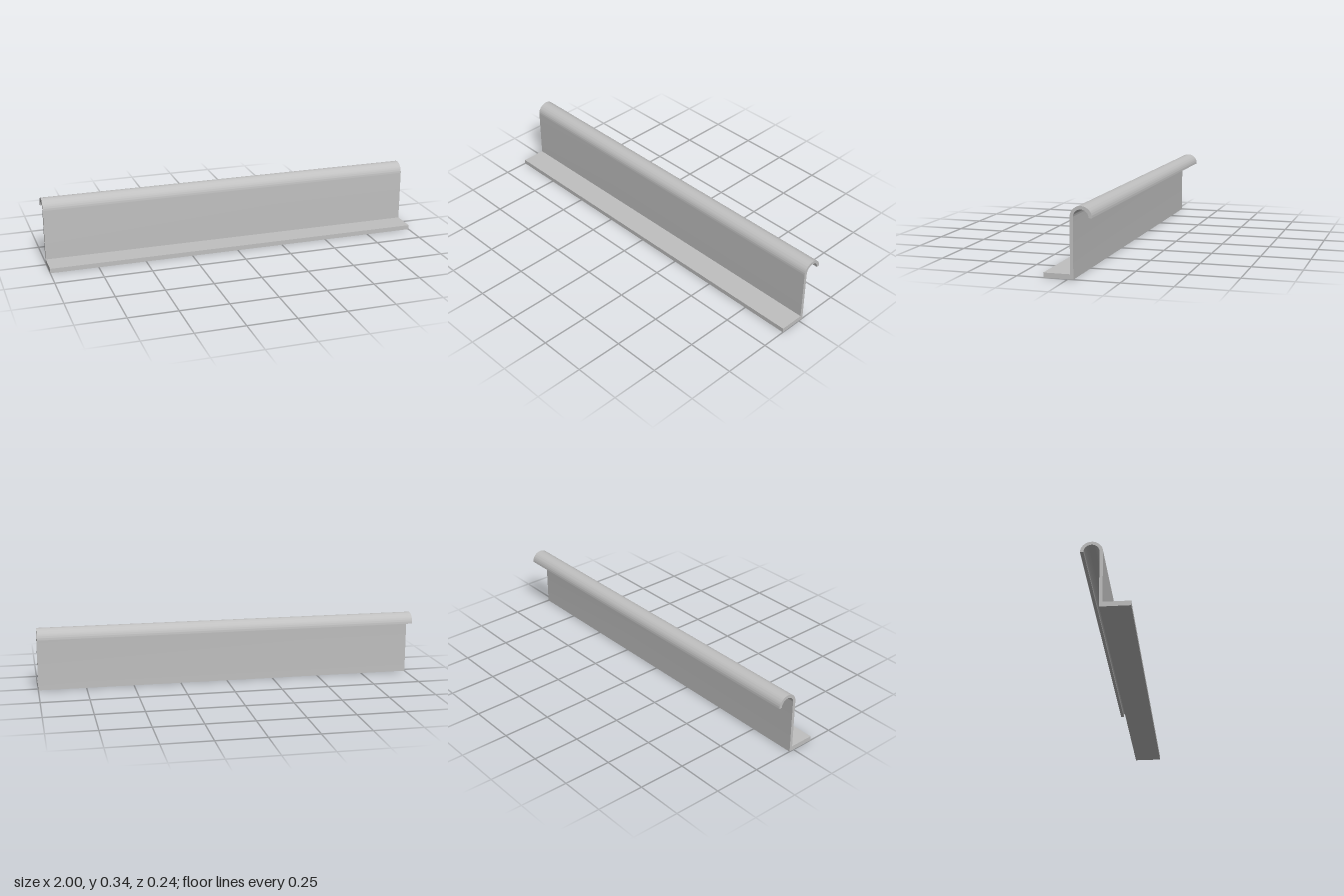
import * as THREE from 'three';
import { toCreasedNormals } from 'three/addons/utils/BufferGeometryUtils.js';

export function createModel() {
  const group = new THREE.Group();
  group.name = 'hookedRail';

  const metal = new THREE.MeshStandardMaterial({ color: 0xc0c0c0 });
  metal.name = 'light grey metal';

  const length = 2;
  const front = -0.119, wallFront = 0.011, wallBack = 0.027; // profile x runs towards the back
  const flangeHeight = 0.024, hookY = 0.288;
  const hookX = 0.0645, outer = 0.0535, inner = 0.0375;

  // Cross-section: foot flange, upright wall and half-round hook
  const profile = new THREE.Shape();
  profile.moveTo(front, 0);
  profile.lineTo(wallBack, 0);
  profile.lineTo(wallBack, hookY);
  profile.absarc(hookX, hookY, inner, Math.PI, 0, true);
  profile.lineTo(hookX + outer, hookY);
  profile.absarc(hookX, hookY, outer, 0, Math.PI, false);
  profile.lineTo(wallFront, flangeHeight);
  profile.lineTo(front, flangeHeight);
  profile.closePath();

  // Run the section along x, smooth only around the hook
  const extruded = new THREE.ExtrudeGeometry(profile, {
    depth: length, bevelEnabled: false, curveSegments: 32,
  });
  extruded.translate(0, 0, -length / 2);
  extruded.rotateY(Math.PI / 2);

  const rail = new THREE.Mesh(toCreasedNormals(extruded, 0.5), metal);
  rail.name = 'railProfile';
  group.add(rail);
  return group;
}
